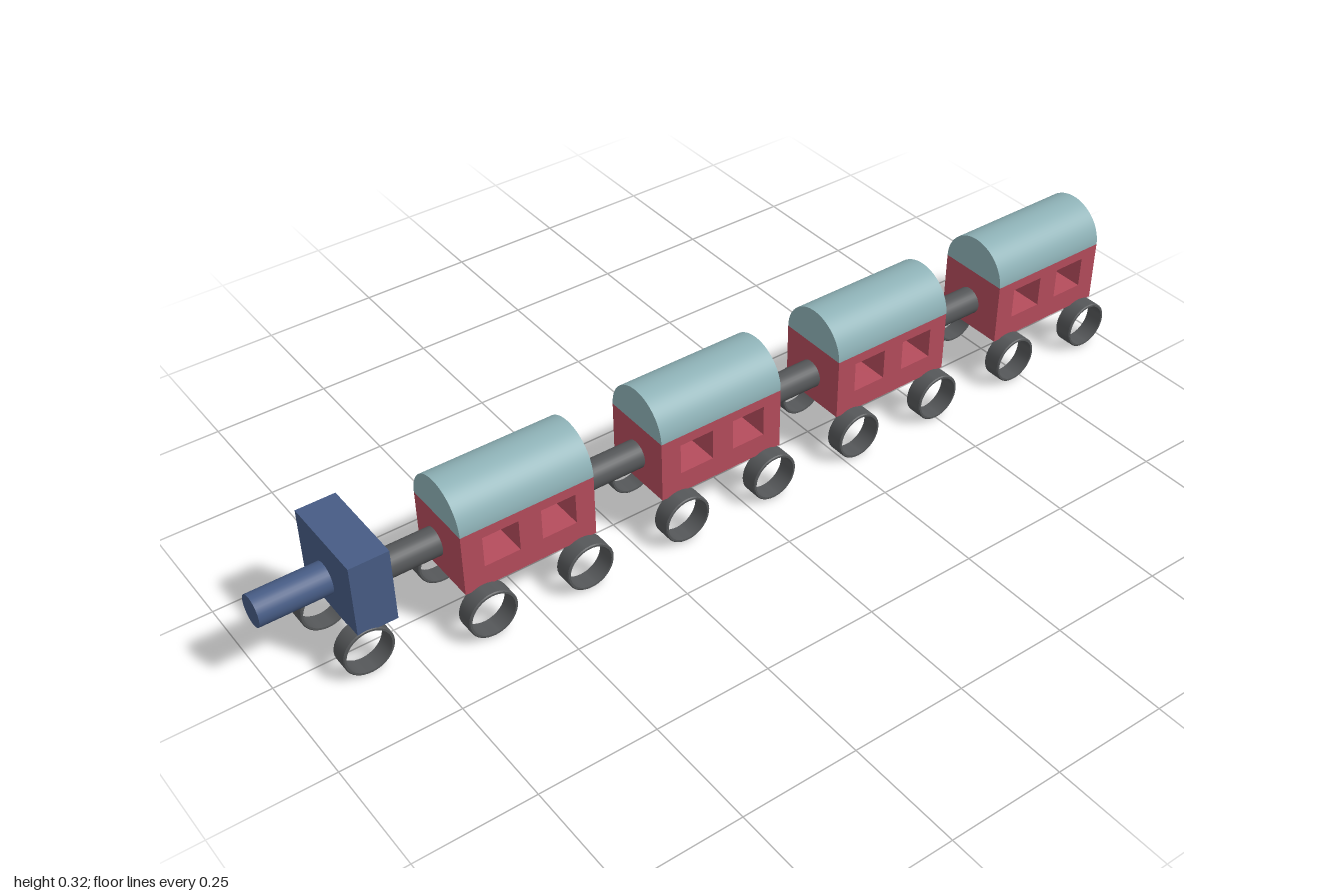
import * as THREE from 'three';
import { toCreasedNormals } from 'three/addons/utils/BufferGeometryUtils.js';

const paint = (color) => new THREE.MeshStandardMaterial({ color });
const red = paint(0xb54c5c);
const teal = paint(0x8fb3b8);
const blue = paint(0x475c85);
const dark = paint(0x555759);

const CAR_LENGTH = 0.29, CAR_Z = 0.013, HALF_WIDTH = 0.082;
const FLOOR = 0.1, EAVES = 0.238;
const WHEEL_R = 0.053;

function add(parent, name, geometry, material, x, y, z) {
  const mesh = new THREE.Mesh(geometry, material);
  mesh.name = name;
  mesh.position.set(x, y, z);
  parent.add(mesh);
  return mesh;
}

// Cylinder lying along x between two ends
function rod(parent, name, x0, x1, y, z, radius, material) {
  const geometry = new THREE.CylinderGeometry(radius, radius, x1 - x0, 32).rotateZ(Math.PI / 2);
  add(parent, name, geometry, material, (x0 + x1) / 2, y, z);
}

// Thin hoop with its axle direction along z
function wheelGeometry() {
  const ro = WHEEL_R, ri = 0.047, h = 0.02, b = 0.002;
  const profile = [
    [ri, -h], [ro - b, -h], [ro, -h + b], [ro, h - b], [ro - b, h], [ri, h], [ri, -h],
  ].map(([r, y]) => new THREE.Vector2(r, y));
  return toCreasedNormals(new THREE.LatheGeometry(profile, 40).rotateX(Math.PI / 2), 0.5);
}

// Carriage body: side wall outline with two window openings running right through
function bodyGeometry() {
  const l = CAR_LENGTH / 2;
  const rect = (Type, x0, x1, y0, y1) => new Type([
    new THREE.Vector2(x0, y0), new THREE.Vector2(x1, y0),
    new THREE.Vector2(x1, y1), new THREE.Vector2(x0, y1),
  ]);
  const wall = rect(THREE.Shape, -l, l, FLOOR, EAVES);
  wall.holes.push(rect(THREE.Path, -0.1, -0.022, 0.147, 0.216));
  wall.holes.push(rect(THREE.Path, 0.027, 0.103, 0.147, 0.216));
  return new THREE.ExtrudeGeometry(wall, { depth: 2 * HALF_WIDTH, bevelEnabled: false })
    .translate(0, 0, -HALF_WIDTH);
}

export function createModel() {
  const train = new THREE.Group();
  train.name = 'train';
  const wheel = wheelGeometry();
  const body = bodyGeometry();
  const roof = new THREE.CylinderGeometry(HALF_WIDTH, HALF_WIDTH, CAR_LENGTH, 40, 1, false, 0, Math.PI)
    .rotateZ(Math.PI / 2);

  // Engine
  const engine = new THREE.Group();
  engine.name = 'engine';
  train.add(engine);
  add(engine, 'cab', new THREE.BoxGeometry(0.083, 0.163, 0.199), blue, -0.811, 0.181, -0.027);
  rod(engine, 'boiler', -1, -0.85, 0.166, -0.035, 0.033, blue);
  add(engine, 'frontWheel', wheel, dark, -0.835, WHEEL_R, 0.054);
  add(engine, 'backWheel', wheel, dark, -0.843, WHEEL_R, -0.098);

  // Carriages
  const centres = [-0.496, -0.05, 0.39, 0.833];
  centres.forEach((x, i) => {
    const car = new THREE.Group();
    car.name = `carriage${i + 1}`;
    car.position.x = x;
    train.add(car);
    add(car, 'body', body, red, 0, 0, CAR_Z);
    add(car, 'roof', roof, teal, 0, EAVES, CAR_Z);
    for (const wx of [-0.107, 0.11])
      for (const wz of [0.107, -0.08]) add(car, 'wheel', wheel, dark, wx, WHEEL_R, wz);
  });

  // Couplings between the vehicles
  centres.forEach((x, i) => {
    const start = i ? centres[i - 1] + CAR_LENGTH / 2 : -0.77;
    rod(train, 'coupling', start - 0.005, x - CAR_LENGTH / 2 + 0.005, 0.162, i ? 0.008 : -0.006, 0.03, dark);
  });

  return train;
}
